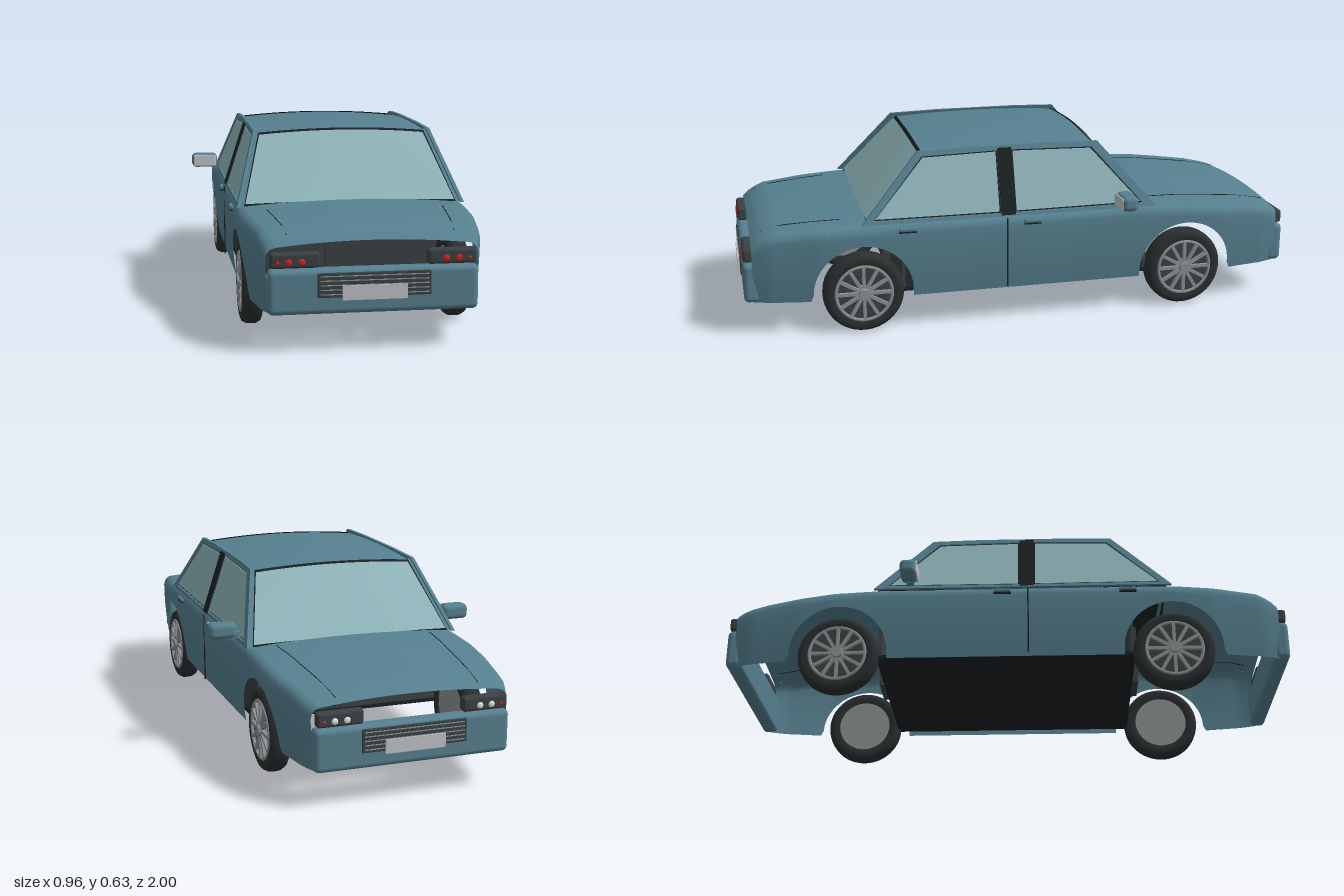
import * as THREE from 'three';
import { RoundedBoxGeometry } from 'three/addons/geometries/RoundedBoxGeometry.js';

const paint = (name, color, side = THREE.FrontSide) => {
  const m = new THREE.MeshStandardMaterial({ color, side });
  m.name = name;
  return m;
};
const M = {
  body: paint('bodyTeal', 0x56808f, THREE.DoubleSide),
  glass: paint('glassBlue', 0x8fb5ba, THREE.DoubleSide),
  black: paint('trimBlack', 0x1b2022, THREE.DoubleSide),
  tyre: paint('tyreRubber', 0x2b2f30, THREE.DoubleSide),
  coal: paint('charcoal', 0x3a4143, THREE.DoubleSide),
  metal: paint('wheelMetal', 0x8b9294),
  pale: paint('paleGrey', 0xbfc2c6),
  red: paint('lampRed', 0xd81f1f),
  white: paint('lampWhite', 0xdde2e4),
};

function add(parent, name, geo, mat, x = 0, y = 0, z = 0) {
  const m = new THREE.Mesh(geo, mat);
  m.name = name;
  m.position.set(x, y, z);
  parent.add(m);
  return m;
}
const box = (w, h, d) => new THREE.BoxGeometry(w, h, d);

// Surface through nu x nv points given by a rule
function grid(nu, nv, rule) {
  const pos = [], idx = [];
  for (let i = 0; i < nu; i++) for (let j = 0; j < nv; j++) {
    pos.push(...rule(i, j));
    if (i < nu - 1 && j < nv - 1) {
      const a = i * nv + j, b = a + nv;
      idx.push(a, b, a + 1, b, b + 1, a + 1);
    }
  }
  const g = new THREE.BufferGeometry();
  g.setAttribute('position', new THREE.Float32BufferAttribute(pos, 3));
  g.setIndex(idx);
  g.computeVertexNormals();
  return g;
}
function lerpTable(table, v) {
  for (let i = 1; i < table.length; i++) {
    const [a, p] = table[i - 1], [b, q] = table[i];
    if (v <= b) return p + (q - p) * Math.max(0, (v - a) / (b - a));
  }
  return table[table.length - 1][1];
}

// Body rules: half width and top line along z, lower edge with wheel arches
const END = 0.955, AXLE = 0.583, HUB = 0.142, ARCH = 0.172;
const halfWidth = z => lerpTable([[0, 0.387], [0.62, 0.387], [0.72, 0.38], [0.82, 0.363], [0.9, 0.35], [0.96, 0.328]], Math.abs(z));
const topLine = z => lerpTable([[-0.96, 0.335], [-0.93, 0.35], [-0.84, 0.368], [-0.6, 0.394], [-0.44, 0.402],
  [0.56, 0.402], [0.75, 0.393], [0.88, 0.382], [0.93, 0.362], [0.96, 0.336]], z);
const lowLine = z => {
  const d = Math.abs(Math.abs(z) - AXLE);
  return d < ARCH ? Math.max(0.12, HUB + Math.sqrt(ARCH * ARCH - d * d)) : 0.12;
};
const deckPoint = (q, z) => [q * (halfWidth(z) - 0.032), topLine(z) - 0.016 * q * q, z];

function buildShell(car) {
  const zs = [];
  for (let i = 0; i <= 100; i++) zs.push(-END + i * END / 50);
  for (const s of [-1, 1]) for (let k = 0; k <= 20; k++) zs.push(s * AXLE + ARCH * Math.cos(k * Math.PI / 20));
  zs.sort((a, b) => a - b);
  for (const s of [-1, 1]) {
    add(car, 'bodySide', grid(zs.length, 9, (i, j) => {
      const z = zs[i], w = halfWidth(z), top = topLine(z), low = lowLine(z);
      if (j < 6) {
        const y = low + (top - 0.05 - low) * j / 5;
        return [s * (w - 0.015 * Math.pow(Math.max(0, (0.32 - y) / 0.2), 2)), y, z];
      }
      const a = (j - 5) / 3 * Math.PI / 2;
      return [s * (w - 0.032 * (1 - Math.cos(a))), top - 0.05 + 0.034 * Math.sin(a), z];
    }), M.body);
    // Door gap, sill trim and handles
    add(car, 'doorGap', box(0.004, 0.25, 0.005), M.black, s * 0.386, 0.255, 0.08);
    for (const z of [0.43, -0.01]) {
      add(car, 'doorHandle', new RoundedBoxGeometry(0.014, 0.014, 0.06, 2, 0.005), M.body, s * 0.39, 0.365, z);
      add(car, 'handleShadow', box(0.008, 0.005, 0.06), M.black, s * 0.39, 0.356, z);
    }
  }
  const deck = (name, z0, z1) => add(car, name, grid(25, 17,
    (i, j) => deckPoint(j / 8 - 1, z0 + (z1 - z0) * i / 24)), M.body);
  deck('hood', -END, -0.43);
  deck('trunkLid', 0.55, END);
  // Lid seams
  for (const s of [-1, 1]) for (const [z0, x0, z1, x1] of [[-0.93, 0.24, -0.47, 0.28], [0.65, 0.29, 0.92, 0.26]]) {
    const pts = [0, 0.25, 0.5, 0.75, 1].map(t => {
      const z = z0 + (z1 - z0) * t;
      return new THREE.Vector3(...deckPoint(s * (x0 + (x1 - x0) * t) / (halfWidth(z) - 0.032), z));
    });
    add(car, 'lidSeam', new THREE.TubeGeometry(new THREE.CatmullRomCurve3(pts), 16, 0.0018, 4), M.black);
  }
  // Floor and bulkheads
  add(car, 'floor', box(0.7, 0.012, 0.9), M.black, 0, 0.135, 0);
  for (const s of [-1, 1]) {
    add(car, 'bulkhead', box(0.68, 0.24, 0.012), M.coal, 0, 0.255, s * 0.44);
    add(car, 'bulkheadBrace', box(0.14, 0.22, 0.03), M.coal, 0, 0.26, s * 0.46);
  }
}

function buildCabin(car) {
  // Roof, crowned both ways
  add(car, 'roof', grid(15, 15, (i, j) => {
    const u = i / 7 - 1, v = j / 7 - 1;
    return [v * 0.302, 0.629 - 0.017 * v * v - 0.012 * u * u, 0.055 + u * 0.308];
  }), M.body);

  // Windscreens with dark surround and slanted pillars
  for (const [name, zb, zt] of [['rearWindow', 0.565, 0.36], ['windscreen', -0.45, -0.25]]) {
    const out = Math.sign(zb);
    const pane = (xb, xt, lift, t0, t1) => grid(5, 13, (i, j) => {
      const t = t0 + (t1 - t0) * i / 4, q = j / 6 - 1, bow = 1 - q * q;
      return [q * (xb + (xt - xb) * t), 0.386 + 0.22 * t + bow * (0.006 + 0.008 * t) + lift,
        zb + (zt - zb) * t + out * (lift + bow * 0.006)];
    });
    add(car, name + 'Seal', pane(0.362, 0.292, 0, 0, 1), M.black);
    add(car, name, pane(0.354, 0.283, 0.003, 0.02, 0.96), M.glass);
    for (const s of [-1, 1]) add(car, 'pillar', grid(2, 2, (i, j) => i
      ? [s * (j ? 0.3 : 0.376), j ? 0.614 : 0.385, j ? zt : zb]
      : [s * (j ? 0.288 : 0.358), j ? 0.61 : 0.385, (j ? zt : zb) + out * 0.004]), M.body);
  }

  // Side frames leaning inwards, with panes and centre post
  const panel = (pts, holes, depth, lift, s) => {
    const sh = new THREE.Shape(pts.map(p => new THREE.Vector2(...p)));
    holes.forEach(h => sh.holes.push(new THREE.Path(h.map(p => new THREE.Vector2(...p)))));
    const g = new THREE.ExtrudeGeometry(sh, { depth, bevelEnabled: false });
    const p = g.attributes.position;
    for (let i = 0; i < p.count; i++) {
      const z = p.getX(i), y = p.getY(i), d = p.getZ(i);
      p.setXYZ(i, s * (0.376 - (y - 0.385) * 0.325 + lift + d), y, z);
    }
    if (s > 0) for (let i = 0; i < p.count; i += 3) {
      const a = new THREE.Vector3().fromBufferAttribute(p, i + 1), b = new THREE.Vector3().fromBufferAttribute(p, i + 2);
      p.setXYZ(i + 1, b.x, b.y, b.z);
      p.setXYZ(i + 2, a.x, a.y, a.z);
    }
    g.computeVertexNormals();
    return g;
  };
  const rear = [[0.545, 0.398], [0.365, 0.598], [0.1, 0.604], [0.1, 0.396]];
  const front = [[0.05, 0.396], [0.05, 0.604], [-0.24, 0.598], [-0.415, 0.398]];
  const outer = [[0.585, 0.385], [0.38, 0.615], [0.2, 0.62], [-0.1, 0.62], [-0.265, 0.615], [-0.465, 0.385]];
  const shrink = pts => {
    const c = [0, 1].map(k => pts.reduce((a, p) => a + p[k], 0) / 4);
    return pts.map(p => [c[0] + (p[0] - c[0]) * 0.97, c[1] + (p[1] - c[1]) * 0.95]);
  };
  for (const s of [-1, 1]) {
    add(car, 'sideFrame', panel(outer, [rear, front], 0.012, -0.006, s), M.body);
    for (const w of [rear, front]) {
      add(car, 'sideSeal', panel(w, [], 0.003, -0.004, s), M.black);
      add(car, 'sideWindow', panel(shrink(w), [], 0.003, 0, s), M.glass);
    }
    add(car, 'centrePost', panel([[0.1, 0.39], [0.1, 0.612], [0.05, 0.612], [0.05, 0.39]], [], 0.006, 0.004, s), M.black);
    // Door mirrors, glass facing the tail
    add(car, 'mirrorArm', box(0.04, 0.02, 0.025), M.body, s * 0.385, 0.405, -0.335);
    add(car, 'mirrorHousing', new RoundedBoxGeometry(0.098, 0.054, 0.058, 3, 0.018), M.body, s * 0.433, 0.425, -0.337);
    add(car, 'mirrorGlass', new RoundedBoxGeometry(0.086, 0.044, 0.006, 2, 0.003), M.pale, s * 0.433, 0.425, -0.308);
  }
}

// Bumper, grille, plate and lamp clusters for one end
function buildEnd(car, name, lens) {
  const end = new THREE.Group();
  end.name = name;
  add(end, 'bumper', new RoundedBoxGeometry(0.652, 0.14, 0.055, 4, 0.018), M.body, 0, 0.19, 0.959);
  add(end, 'grille', new RoundedBoxGeometry(0.35, 0.076, 0.008, 2, 0.003), M.coal, 0, 0.211, 0.987);
  for (let i = 0; i < 5; i++) add(end, 'grilleBar', box(0.335, 0.003, 0.004), M.metal, 0, 0.183 + i * 0.014, 0.991);
  add(end, 'plate', box(0.2, 0.045, 0.006), M.pale, 0, 0.188, 0.995);
  for (const s of [-1, 1]) {
    add(end, 'lampHousing', new RoundedBoxGeometry(0.152, 0.048, 0.035, 3, 0.01), M.coal, s * 0.242, 0.288, 0.966);
    for (const [x, r] of [[0.222, 0.011], [0.262, 0.011], [0.296, 0.006]]) {
      const lamp = add(end, 'lamp', new THREE.SphereGeometry(r, 16, 10), r < 0.01 ? M.red : lens, s * x, 0.283, 0.983);
      lamp.scale.z = 0.5;
    }
  }
  car.add(end);
  return end;
}

function buildWheel() {
  const wheel = new THREE.Group();
  wheel.name = 'wheel';
  const profile = [[0.098, -0.03], [0.118, -0.035], [0.132, -0.03], [0.14, -0.016], [0.141, 0],
    [0.14, 0.016], [0.132, 0.03], [0.118, 0.035], [0.098, 0.03]].map(p => new THREE.Vector2(...p));
  add(wheel, 'tyre', new THREE.LatheGeometry(profile, 48), M.tyre);
  add(wheel, 'rimBarrel', new THREE.CylinderGeometry(0.099, 0.099, 0.03, 40), M.metal, 0, -0.01, 0);
  add(wheel, 'rimShadow', new THREE.CylinderGeometry(0.098, 0.098, 0.006, 40), M.coal, 0, 0.009, 0);
  add(wheel, 'rimRing', new THREE.TorusGeometry(0.097, 0.006, 8, 48), M.metal, 0, 0.03, 0).rotation.x = Math.PI / 2;
  for (let i = 0; i < 12; i++) {
    const pivot = new THREE.Group();
    pivot.name = 'spoke';
    pivot.rotation.y = i * Math.PI / 6;
    add(pivot, 'spokeBar', box(0.078, 0.012, 0.011), M.metal, 0.057, 0.029, 0);
    wheel.add(pivot);
  }
  add(wheel, 'hub', new THREE.CylinderGeometry(0.018, 0.026, 0.03, 20), M.metal, 0, 0.027, 0);
  return wheel;
}

export function createModel() {
  const car = new THREE.Group();
  car.name = 'saloonCar';
  buildShell(car);
  buildCabin(car);
  buildEnd(car, 'tailEnd', M.red);
  buildEnd(car, 'noseEnd', M.white).rotation.y = Math.PI;
  for (const s of [-1, 1]) for (const z of [-AXLE, AXLE]) {
    const wheel = buildWheel();
    wheel.position.set(s * 0.343, 0.141, z);
    wheel.rotation.z = -s * Math.PI / 2;
    car.add(wheel);
  }
  return car;
}
